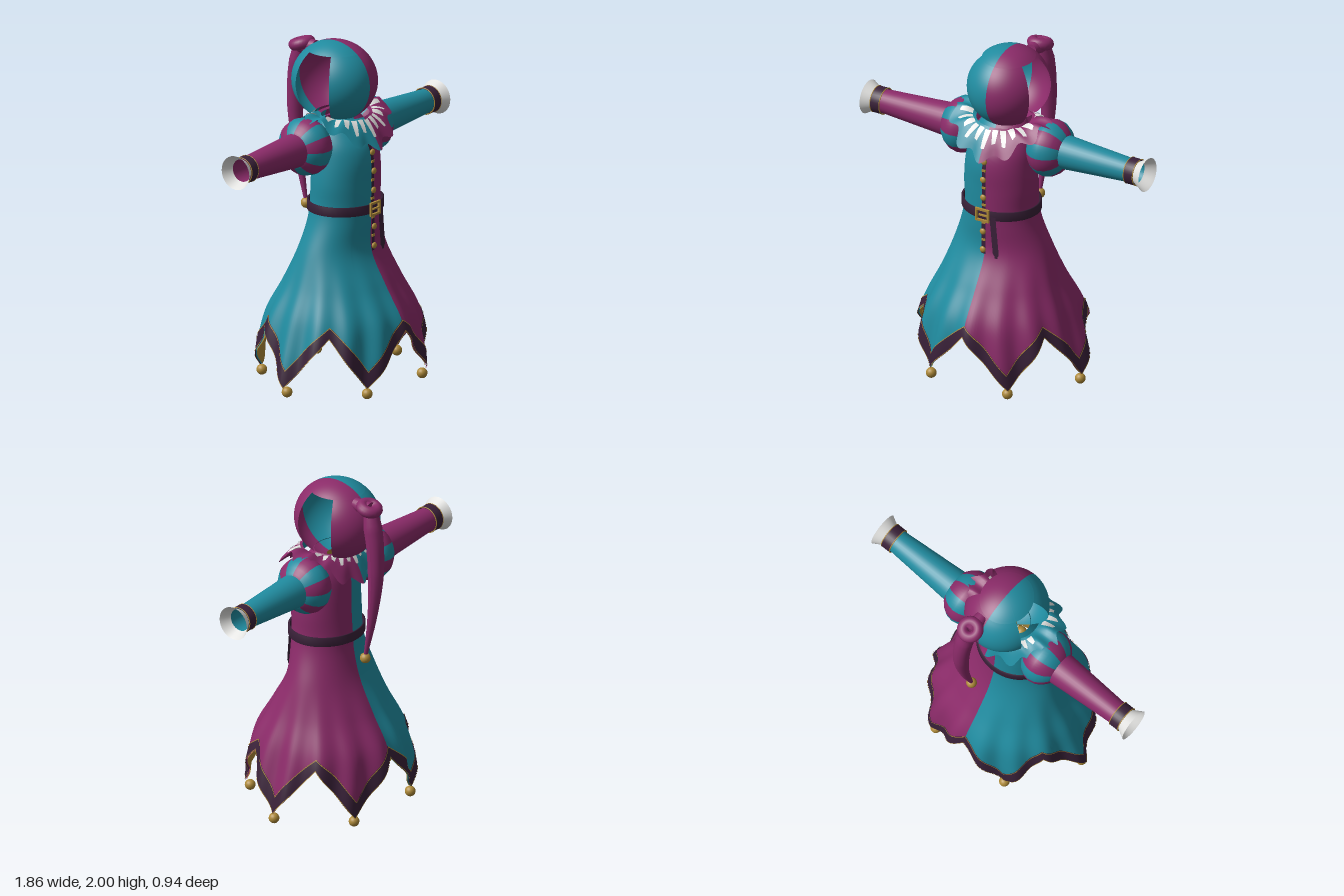
import * as THREE from 'three';

const mat = (name, color) => {
  const m = new THREE.MeshStandardMaterial({ color, side: THREE.DoubleSide });
  m.name = name;
  return m;
};

// Body cross-sections by height: x radius, z radius, z centre
const rows = [
  [0.05, 0.53, 0.45, 0], [0.25, 0.49, 0.452, 0], [0.42, 0.44, 0.42, 0], [0.6, 0.364, 0.318, 0],
  [0.8, 0.294, 0.216, -0.002], [0.97, 0.235, 0.192, 0.018], [1.05, 0.22, 0.19, 0.022],
  [1.2, 0.222, 0.186, 0.028], [1.35, 0.208, 0.184, 0.028], [1.43, 0.195, 0.17, 0.018],
  [1.52, 0.16, 0.125, -0.005], [1.58, 0.12, 0.09, -0.02],
];
const section = new THREE.CubicInterpolant(rows.map(r => r[0]), rows.flatMap(r => r.slice(1)), 3);
const H = Math.PI / 2;

// Point on the garment, with folds growing toward the hem and the notches pushed out
function cloth(t, y, offset = 0) {
  const [rx, rz, zc] = section.evaluate(y);
  const flare = 1 - THREE.MathUtils.smoothstep(y, 0.15, 0.85);
  const notch = THREE.MathUtils.smoothstep(y, 0.1, 0.4) * flare;
  const fold = 1 + 0.035 * flare * Math.cos(15 * (t - 1.52)) - 0.025 * notch * Math.cos(6 * t);
  return [Math.cos(t) * (rx * fold + offset), y, Math.sin(t) * (rz * fold + offset) + zc];
}
const frontZ = y => cloth(H, y)[2];

// Six-pointed hem: 0 at the notch, 1 at the tip
const tip = t => Math.abs(((((t / (Math.PI / 3)) % 1) + 1) % 1) - 0.5) * 2;
const hem = t => 0.365 - 0.3 * tip(t);
const trimHeight = t => 0.062 + 0.038 * tip(t) + 0.022 * Math.sin(Math.PI * tip(t));

// Surface from a rule p(u, v)
function grid(p, u0, u1, nu, nv) {
  const pos = [], idx = [];
  for (let j = 0; j <= nv; j++) {
    for (let i = 0; i <= nu; i++) pos.push(...p(u0 + (u1 - u0) * i / nu, j / nv));
  }
  for (let j = 0; j < nv; j++) {
    for (let i = 0; i < nu; i++) {
      const a = j * (nu + 1) + i, c = a + nu + 1;
      idx.push(a, a + 1, c, a + 1, c + 1, c);
    }
  }
  const g = new THREE.BufferGeometry();
  g.setAttribute('position', new THREE.Float32BufferAttribute(pos, 3));
  g.setIndex(idx);
  g.computeVertexNormals();
  return g;
}

export function createModel() {
  const root = new THREE.Group();
  const teal = mat('teal cloth', 0x208b9f), magenta = mat('magenta cloth', 0x8b2b69);
  const dark = mat('dark trim', 0x3a2139), gold = mat('gold', 0xae8a39), white = mat('white linen', 0xe2e2e0);
  const add = (name, geo, m, parent = root) => {
    const mesh = new THREE.Mesh(geo, m);
    mesh.name = name;
    parent.add(mesh);
    return mesh;
  };
  const ball = (name, x, y, z, r) => {
    const mesh = add(name, new THREE.SphereGeometry(r, 16, 12), gold);
    mesh.position.set(x, y, z);
    return mesh;
  };
  const lerp = THREE.MathUtils.lerp;
  const halves = [['left', magenta, -H, 1], ['right', teal, H, -1]];

  // Two-coloured tunic, hood and collar
  const hood = (t, phi) => [
    0.235 * Math.sin(phi) * Math.cos(t), 1.765 + 0.235 * Math.cos(phi), -0.053 + 0.255 * Math.sin(phi) * Math.sin(t)];
  const rim = 0.695, gap = 0.49;
  const collar = (t, v, lift = 0) => {
    const edge = 1 + 0.07 * v * Math.cos(t * 12);
    const front = (1 + Math.sin(t)) / 2;
    const low = 1.425 + 0.18 * Math.cos(t) ** 2 - 0.02 * Math.cos(t * 12);
    return [Math.cos(t) * lerp(0.16, 0.305, v) * edge,
      lerp(1.582, low, v) + 0.018 * Math.sin(Math.PI * v) + lift,
      Math.sin(t) * lerp(0.155, lerp(0.235, 0.265, front), v) * edge];
  };
  for (const [side, m, start] of halves) {
    const end = start + Math.PI, mid = start + H;
    add(side + 'Tunic', grid((t, v) => cloth(t, lerp(1.575, hem(t), v)), start, end, 90, 50), m);
    add(side + 'Collar', grid((t, v) => collar(t, v), start, end, 72, 6), m);
    for (const [a, b, panel] of [[start, mid - gap, true], [mid - gap, mid + gap, false], [mid + gap, end, true]]) {
      add(side + 'HoodCap', grid((t, v) => hood(t, Math.max(v * rim, 0.001)), a, b, 18, 10), m);
      if (panel) add(side + 'HoodPanel', grid((t, v) => hood(t, lerp(rim, 2.9, v)), a, b, 18, 28), m);
    }
  }

  // Lining, hem trim with gold edging, and bells
  const full = Math.PI * 2;
  add('skirtLining', grid((t, v) => cloth(t, lerp(1.5, hem(t) + 0.002, v), -0.006), 0, full, 180, 40), gold);
  add('hemTrim', grid((t, v) => cloth(t, hem(t) + lerp(trimHeight(t), -0.002, v), 0.005), 0, full, 180, 4), dark);
  for (const level of [0.05, 1]) {
    add('hemEdging', grid((t, v) => cloth(t, hem(t) + level * trimHeight(t) - 0.006 * v, 0.008), 0, full, 180, 1), gold);
  }
  for (let i = 0; i < 6; i++) {
    const t = i * Math.PI / 3;
    ball('hemBell', 0.508 * Math.cos(t), 0.035, 0.44 * Math.sin(t), 0.031);
  }

  // White pleats on the collar: long in front, short behind, none over the shoulders
  const pleats = 26;
  for (let i = 0; i < pleats; i++) {
    const t = (i + 0.5) / pleats * full;
    if (Math.abs(Math.cos(t)) > 0.95) continue;
    const length = t < Math.PI ? 0.56 : 0.36;
    add('collarPleat', grid((u, v) => collar(t + u * (1 - 0.6 * v), 0.14 + length * v, 0.006), -0.1, 0.1, 2, 6), white);
  }

  // Sleeves: turned about the arm axis
  const lathe = (pts, s, a = 0, len = full, n = 32) =>
    new THREE.LatheGeometry(pts.map(([x, r]) => new THREE.Vector2(r, x)), n, a, len).rotateZ(-s * H);
  const puff = [[0.175, 0.08], [0.19, 0.115], [0.215, 0.142], [0.25, 0.162], [0.285, 0.168], [0.325, 0.16],
    [0.36, 0.137], [0.385, 0.11], [0.395, 0.09]];
  for (const [side, , , s] of halves) {
    const arm = new THREE.Group();
    arm.name = side + 'Sleeve';
    arm.position.set(0, 1.437, -0.043);
    root.add(arm);
    for (let i = 0; i < 12; i++) {
      add('puffStripe', lathe(puff, s, i * Math.PI / 6, Math.PI / 6, 5), i % 2 ? teal : magenta, arm);
    }
    const own = s > 0 ? teal : magenta;
    add('forearm', lathe([[0.36, 0.1], [0.42, 0.097], [0.5, 0.091], [0.62, 0.083], [0.74, 0.075], [0.87, 0.066]], s), own, arm);
    add('cuffBand', lathe([[0.815, 0.072], [0.815, 0.078], [0.875, 0.078], [0.875, 0.071]], s), dark, arm);
    for (const x of [0.815, 0.875]) {
      const ring = add('cuffEdging', new THREE.TorusGeometry(0.077, 0.003, 6, 32), gold, arm);
      ring.rotation.y = H;
      ring.position.x = s * x;
    }
    add('cuffFlare', lathe([[0.87, 0.066], [0.885, 0.075], [0.91, 0.088], [0.93, 0.1]], s), white, arm);
  }

  // Belt, hanging strap and buckle
  const belt = lathe([[1.026, 1], [1.026, 1.05], [1.08, 1.05], [1.08, 1]], 0, 0, full, 48);
  belt.scale(0.225, 1, 0.2);
  add('belt', belt, dark).position.z = 0.025;
  add('beltStrap', grid((u, v) => {
    const y = 1.05 - 0.26 * v;
    return [0.062 + 0.025 * v + u * (v > 0.9 ? 0.5 : 1), y, 0.23];
  }, -0.02, 0.02, 2, 20), dark);
  const bar = (x, y, w, h) => add('buckleBar', new THREE.BoxGeometry(w, h, 0.014), gold).position.set(x, y, 0.24);
  for (const s of [-1, 1]) {
    bar(s * 0.039, 1.053, 0.012, 0.08);
    bar(0, 1.053 + s * 0.034, 0.09, 0.012);
  }
  bar(0.008, 1.053, 0.06, 0.008);

  // Front placket with buttons
  const placketZ = y => Math.max(frontZ(y), y < 1.05 ? 0.218 : 0) + 0.008;
  add('placket', grid((u, v) => {
    const y = 1.43 - 0.63 * v;
    return [u, y, placketZ(y)];
  }, -0.012, 0.012, 2, 40), dark);
  for (const y of [1.385, 1.275, 1.16, 0.945, 0.83]) ball('button', 0, y, placketZ(y) + 0.008, 0.019).scale.z = 0.6;
  for (const y of [1.33, 1.22, 1.11, 1.0, 0.89]) {
    add('placketClasp', new THREE.BoxGeometry(0.024, 0.014, 0.008), gold).position.set(0, y, placketZ(y));
  }

  // Hood tail with its knot and bell
  const knot = add('tailKnot', new THREE.CylinderGeometry(0.048, 0.035, 0.11, 20), magenta);
  knot.rotation.x = -H - 0.1;
  knot.position.set(0.045, 1.915, -0.275);
  const roll = add('knotRoll', new THREE.TorusGeometry(0.044, 0.034, 12, 28), magenta);
  roll.rotation.x = -H - 0.3;
  roll.position.set(0.045, 1.922, -0.325);
  const curve = new THREE.CatmullRomCurve3([[0.05, 1.9, -0.34], [0.055, 1.84, -0.353], [0.06, 1.7, -0.378],
    [0.062, 1.5, -0.385], [0.06, 1.25, -0.358], [0.055, 0.99, -0.305]].map(p => new THREE.Vector3(...p)));
  const n = 40, k = 16, tail = new THREE.TubeGeometry(curve, n, 1, k);
  const pos = tail.attributes.position, v = new THREE.Vector3();
  for (let i = 0; i <= n; i++) {
    const f = i / n, c = curve.getPointAt(f);
    const r = f < 0.1 ? lerp(0.042, 0.054, f / 0.1) : f < 0.4 ? lerp(0.054, 0.047, (f - 0.1) / 0.3)
      : lerp(0.047, 0.011, (f - 0.4) / 0.6);
    for (let j = 0; j <= k; j++) {
      const q = i * (k + 1) + j;
      v.fromBufferAttribute(pos, q).sub(c).multiplyScalar(r).add(c);
      pos.setXYZ(q, v.x, v.y, v.z);
    }
  }
  tail.computeVertexNormals();
  add('hoodTail', tail, magenta);
  ball('tailBell', 0.055, 0.97, -0.302, 0.031);

  return root;
}
